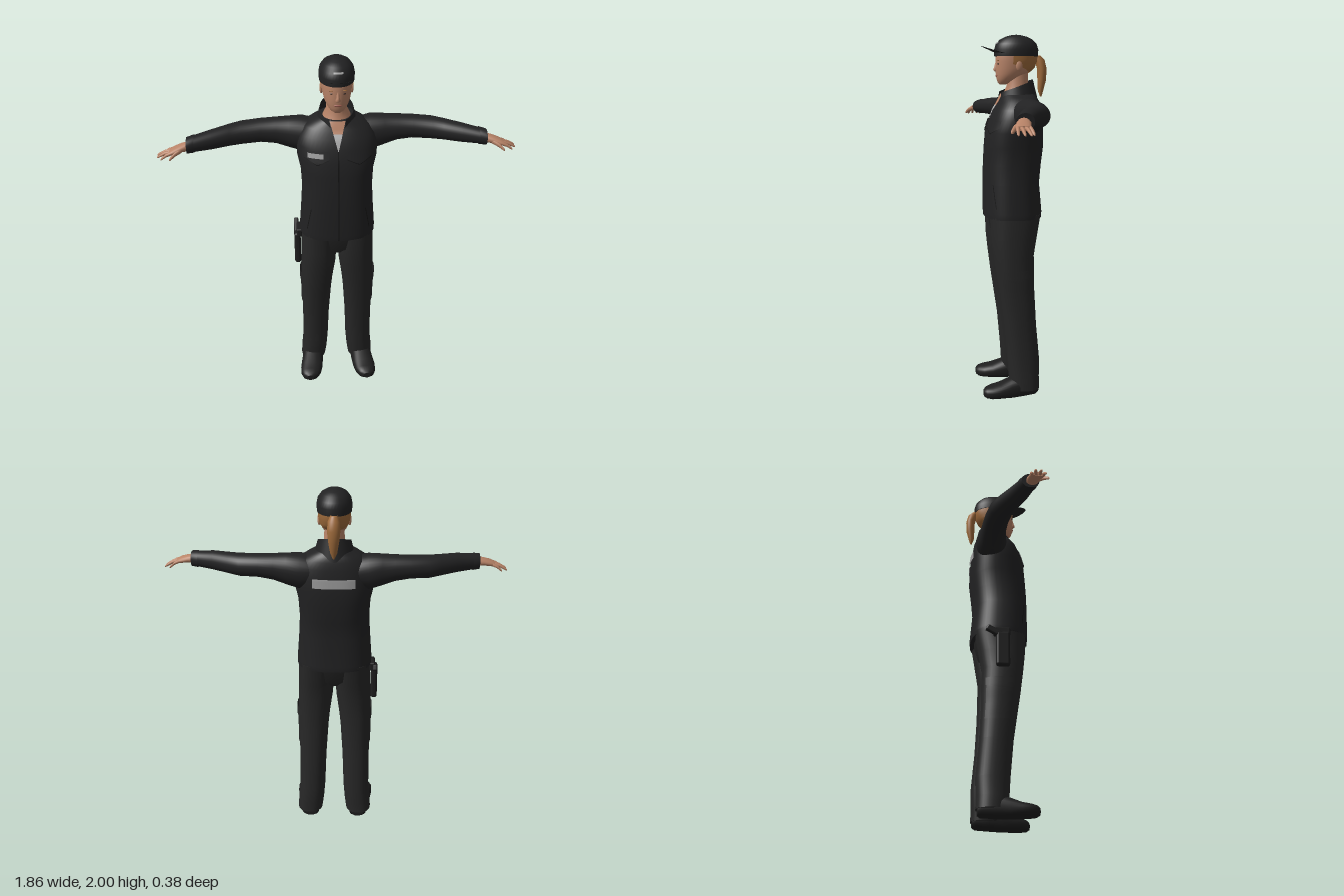
import * as THREE from 'three';
import { RoundedBoxGeometry } from 'three/addons/geometries/RoundedBoxGeometry.js';

const mat = (name, color, side = THREE.FrontSide) => {
  const m = new THREE.MeshStandardMaterial({ color, side });
  m.name = name;
  return m;
};

// Smooth surface from fn(u, v), optionally closed in u
function grid(nu, nv, fn, wrap = false) {
  const cols = wrap ? nu : nu + 1, pos = [], idx = [];
  for (let j = 0; j <= nv; j++)
    for (let i = 0; i < cols; i++) pos.push(...fn(i / nu, j / nv, j));
  for (let j = 0; j < nv; j++)
    for (let i = 0; i < nu; i++) {
      const k = (i + 1) % cols;
      const a = j * cols + i, b = j * cols + k, c = a + cols, d = b + cols;
      idx.push(a, b, d, a, d, c);
    }
  const g = new THREE.BufferGeometry();
  g.setAttribute('position', new THREE.Float32BufferAttribute(pos, 3));
  g.setIndex(idx);
  g.computeVertexNormals();
  return g;
}

const sp = (x, e) => Math.sign(x) * Math.abs(x) ** e;

// Closed loft; each section is [position, centreA, centreB, radiusA, radiusB].
// A and B mean x,z along 'y'; z,y along 'x'; y,x along 'z'.
function loft(axis, secs, p = 2, n = 32) {
  const first = secs[0], last = secs[secs.length - 1];
  const rows = [[...first.slice(0, 3), 0, 0], first, ...secs, last, [...last.slice(0, 3), 0, 0]];
  return grid(n, rows.length - 1, (u, v, j) => {
    const [s, ca, cb, ra, rb] = rows[j], t = u * Math.PI * 2;
    const a = ca + ra * sp(Math.sin(t), 2 / p), b = cb + rb * sp(Math.cos(t), 2 / p);
    return axis === 'y' ? [a, s, b] : axis === 'x' ? [s, b, a] : [b, a, s];
  }, true);
}

// Section of an upright loft at height y
function sectionAt(secs, y) {
  let i = 0;
  while (i < secs.length - 2 && y > secs[i + 1][0]) i++;
  const f = (y - secs[i][0]) / (secs[i + 1][0] - secs[i][0]);
  return secs[i].map((s, k) => s + (secs[i + 1][k] - s) * f);
}

// Thin plate following an upright loft; at(u, v) gives [angle, y]
const wrapPlate = (secs, p, off, at, nu = 12, nv = 8) => grid(nu, nv, (u, v) => {
  const [t, y] = at(u, v), [, cx, cz, rx, rz] = sectionAt(secs, y);
  return [cx + (rx + off) * sp(Math.sin(t), 2 / p), y, cz + (rz + off) * sp(Math.cos(t), 2 / p)];
});

// The same, placed by x on the front or back; at(u, v) gives [x, y]
const facePlate = (secs, p, off, at, back = false, nu = 12, nv = 8) => wrapPlate(secs, p, off, (u, v) => {
  const [x, y] = at(back ? 1 - u : u, v), s = sectionAt(secs, y);
  const t = Math.asin(sp((x - s[1]) / s[3], p / 2));
  return [back ? Math.PI - t : t, y];
}, nu, nv);

function mirror(g) {
  const m = g.clone().scale(-1, 1, 1), a = m.index.array;
  for (let i = 0; i < a.length; i += 3) [a[i], a[i + 1]] = [a[i + 1], a[i]];
  m.computeVertexNormals();
  return m;
}

const ball = (x, y, z, a, b, c) => new THREE.SphereGeometry(1, 16, 12).scale(a, b, c).translate(x, y, z);
const lerp = THREE.MathUtils.lerp;

const TORSO = [
  [1.01, 0, 0.005, 0.206, 0.158], [1.04, 0, 0.005, 0.207, 0.16], [1.2, 0, 0.012, 0.195, 0.153],
  [1.3, 0, 0.006, 0.19, 0.157], [1.4, 0, -0.003, 0.195, 0.16], [1.48, 0, -0.006, 0.212, 0.155],
  [1.55, 0, -0.015, 0.213, 0.142], [1.6, 0, -0.02, 0.2, 0.128], [1.64, 0, -0.03, 0.17, 0.112],
  [1.665, 0, -0.03, 0.13, 0.1], [1.685, 0, -0.03, 0.09, 0.09]];
const LEG = [
  [0.035, 0.145, -0.047, 0.073, 0.08], [0.1, 0.139, -0.04, 0.076, 0.085], [0.2, 0.13, -0.038, 0.075, 0.09],
  [0.4, 0.126, -0.02, 0.078, 0.09], [0.6, 0.12, 0, 0.085, 0.1], [0.68, 0.117, 0.006, 0.09, 0.106],
  [0.8, 0.108, 0.015, 0.098, 0.113], [0.9, 0.103, 0.012, 0.1, 0.127], [1.03, 0.1, 0.003, 0.1, 0.14]];
const HEAD = [
  [1.735, 0, 0.055, 0.02, 0.018], [1.745, 0, 0.045, 0.036, 0.037], [1.765, 0, 0.025, 0.053, 0.064],
  [1.79, 0, 0.008, 0.066, 0.084], [1.82, 0, -0.01, 0.074, 0.105], [1.86, 0, -0.018, 0.08, 0.112],
  [1.9, 0, -0.02, 0.082, 0.114], [1.94, 0, -0.02, 0.076, 0.1]];
const CAP = [
  [1.885, 0, -0.02, 0.09, 0.12], [1.92, 0, -0.02, 0.092, 0.121], [1.95, 0, -0.02, 0.086, 0.112],
  [1.975, 0, -0.02, 0.068, 0.089], [1.99, 0, -0.02, 0.044, 0.058], [1.998, 0, -0.02, 0.018, 0.024], [2, 0, -0.02, 0.004, 0.004]];
const ARM = [
  [0.1, -0.045, 1.565, 0.085, 0.08], [0.18, -0.055, 1.567, 0.088, 0.096], [0.25, -0.055, 1.577, 0.075, 0.084],
  [0.32, -0.055, 1.588, 0.068, 0.069], [0.4, -0.05, 1.593, 0.066, 0.061], [0.5, -0.035, 1.59, 0.066, 0.059],
  [0.56, -0.01, 1.59, 0.063, 0.055], [0.65, 0.033, 1.588, 0.055, 0.05], [0.735, 0.064, 1.583, 0.046, 0.042],
  [0.74, 0.066, 1.583, 0.049, 0.045], [0.775, 0.078, 1.58, 0.045, 0.041]];

export function createModel() {
  const root = new THREE.Group();
  const both = THREE.DoubleSide;
  const jacket = mat('jacket black', 0x222223, both), trousers = mat('trouser black', 0x272727, both);
  const leather = mat('shoe and holster black', 0x1e1e1e), seam = mat('seam black', 0x141414, both);
  const skin = mat('skin', 0xb98468, both), hair = mat('hair', 0xa06c3c, both);
  const grey = mat('reflective grey', 0x9c9c9c, both), shirt = mat('shirt grey', 0xb0b0b0, both);
  const lips = mat('lips', 0x9c5c4e), eye = mat('eye dark', 0x3a2a24);
  const add = (name, g, m) => {
    const o = new THREE.Mesh(g, m);
    o.name = name;
    root.add(o);
    return o;
  };
  const pair = (name, g, m) => { add('left' + name, g, m); add('right' + name, mirror(g), m); };

  // Jacket
  add('jacketBody', loft('y', TORSO, 2.5, 48), jacket);
  pair('Sleeve', loft('x', ARM, 2.1), jacket);
  add('collar', grid(36, 4, (u, v) => {
    const gap = lerp(0.3, 0.5, v), t = lerp(gap, Math.PI * 2 - gap, u);
    return [lerp(0.112, 0.088, v) * Math.sin(t), lerp(1.635, 1.725 - 0.035 * Math.cos(t), v),
      lerp(-0.03, -0.016, v) + lerp(0.113, 0.096, v) * Math.cos(t)];
  }), jacket);
  add('zip', facePlate(TORSO, 2.5, 0.003, (u, v) => [lerp(-0.003, 0.003, u), lerp(1.012, 1.55, v)], false, 2, 20), seam);
  pair('ChestFlap', facePlate(TORSO, 2.5, 0.005, (u, v) =>
    [lerp(0.045, 0.17, u), lerp(1.505 - 0.03 * (1 - Math.abs(2 * u - 1)), 1.545, v)]), jacket);
  pair('ChestFlapEdge', facePlate(TORSO, 2.5, 0.006, (u, v) =>
    [lerp(0.045, 0.17, u), 1.501 - 0.03 * (1 - Math.abs(2 * u - 1)) + 0.004 * v], false, 12, 1), seam);
  pair('SidePocketSeam', facePlate(TORSO, 2.5, 0.003, (u, v) =>
    [lerp(0.165, 0.142, v) + 0.004 * u, lerp(1.07, 1.2, v)], false, 1, 8), seam);
  add('chestPatch', facePlate(TORSO, 2.5, 0.007, (u, v) => [lerp(-0.155, -0.075, u), lerp(1.508, 1.533, v)]), grey);
  add('backPatch', facePlate(TORSO, 2.5, 0.006, (u, v) => [lerp(-0.11, 0.11, u), lerp(1.505, 1.555, v)], true), grey);

  // Open neckline with shirt
  const vee = (y0, y1) => facePlate(TORSO, 2.5, 0.005, (u, v) => {
    const y = lerp(y0, y1, v);
    return [(2 * u - 1) * 0.038 * (y - 1.54) / 0.14, y];
  });
  add('shirt', vee(1.545, 1.625), shirt);
  add('chestSkin', vee(1.625, 1.684), skin);

  // Neck and head
  add('neck', loft('y', [[1.64, 0, -0.02, 0.085, 0.08], [1.69, 0, -0.022, 0.072, 0.072],
    [1.725, 0, -0.025, 0.054, 0.058], [1.81, 0, -0.025, 0.052, 0.062]]), skin);
  add('head', loft('y', HEAD, 2.1, 40), skin);
  add('nose', loft('y', [[1.805, 0, 0.092, 0.011, 0.008], [1.812, 0, 0.094, 0.014, 0.014],
    [1.825, 0, 0.093, 0.009, 0.01], [1.856, 0, 0.088, 0.006, 0.006]], 2, 16), skin);
  add('lips', ball(0, 1.782, 0.089, 0.021, 0.006, 0.006), lips);
  pair('Eye', ball(0.03, 1.845, 0.084, 0.011, 0.004, 0.005), eye);
  pair('Eyebrow', ball(0.03, 1.862, 0.085, 0.016, 0.003, 0.005), hair);
  pair('Ear', ball(0.079, 1.835, -0.022, 0.009, 0.03, 0.018), skin);

  // Hair
  add('hairBack', wrapPlate(HEAD, 2.1, 0.005, (u, v) => {
    const t = lerp(1.35, Math.PI * 2 - 1.35, u);
    return [t, lerp(1.835 + 0.04 * Math.cos(t), 1.92, v)];
  }, 28, 8), hair);
  add('ponytail', loft('y', [[1.668, 0, -0.158, 0.004, 0.004], [1.7, 0, -0.157, 0.018, 0.015],
    [1.76, 0, -0.163, 0.028, 0.024], [1.82, 0, -0.163, 0.034, 0.026], [1.865, 0, -0.15, 0.03, 0.028],
    [1.89, 0, -0.135, 0.018, 0.02]]), hair);

  // Cap
  add('capCrown', loft('y', CAP, 2.1, 40), jacket);
  add('capBrim', grid(24, 8, (u, v) => {
    const t = lerp(-1.3, 1.3, u), c = Math.cos(t);
    return [lerp(0.088, 0.083, v) * Math.sin(t), 1.888 + 0.016 * c + 0.036 * v * c * c,
      -0.02 + (0.116 + 0.08 * v * Math.sqrt(c)) * c];
  }), jacket);
  add('capPlate', facePlate(CAP, 2.1, 0.004, (u, v) => [lerp(-0.022, 0.026, u), lerp(1.951, 1.959, v)]), grey);

  // Hands
  pair('Palm', loft('x', [[0.765, 0.083, 1.578, 0.027, 0.025], [0.8, 0.09, 1.575, 0.035, 0.02],
    [0.84, 0.1, 1.565, 0.038, 0.016], [0.862, 0.103, 1.558, 0.034, 0.011]], 2.2, 20), skin);
  const digit = (a, b, r) => loft('x', [0, 0.5, 0.9, 1].map((f, i) =>
    [lerp(a[0], b[0], f), lerp(a[2], b[2], f), lerp(a[1], b[1], f) + 0.006 * Math.sin(f * Math.PI),
      r * [1, 0.95, 0.7, 0.3][i], r * [1, 0.95, 0.7, 0.3][i]]), 2, 10);
  [[0.075, 0.9, 0.06], [0.094, 0.929, 0.078], [0.112, 0.929, 0.107], [0.128, 0.908, 0.134]].forEach(([z, x, tz], i) =>
    pair('Finger' + (i + 1), digit([0.845, 1.563, z], [x, 1.53, tz], 0.0095), skin));
  pair('Thumb', digit([0.8, 1.57, 0.113], [0.862, 1.537, 0.156], 0.013), skin);

  // Trousers
  add('hips', loft('y', [[0.875, 0, 0.01, 0.06, 0.07], [0.92, 0, 0.008, 0.15, 0.115], [1.04, 0, 0.003, 0.198, 0.142]], 2.3), trousers);
  pair('Leg', loft('y', LEG, 2.3), trousers);
  pair('ThighPocket', wrapPlate(LEG, 2.3, 0.006, (u, v) => [lerp(0.8, 2.4, u), lerp(0.5, 0.7, v)]), trousers);
  pair('ThighPocketFlap', wrapPlate(LEG, 2.3, 0.009, (u, v) =>
    [lerp(0.75, 2.45, u), lerp(0.69 - 0.03 * (1 - Math.abs(2 * u - 1)), 0.73, v)]), trousers);

  // Shoes, flattened on the ground
  const shoe = loft('z', [[-0.118, 0.035, 0.142, 0.03, 0.035], [-0.1, 0.045, 0.143, 0.055, 0.052],
    [-0.03, 0.045, 0.147, 0.07, 0.062], [0.04, 0.035, 0.154, 0.062, 0.064], [0.1, 0.03, 0.162, 0.043, 0.066],
    [0.15, 0.028, 0.168, 0.036, 0.06], [0.18, 0.027, 0.171, 0.029, 0.044], [0.194, 0.026, 0.173, 0.018, 0.02]], 2.4);
  const sp3 = shoe.attributes.position;
  for (let i = 0; i < sp3.count; i++) sp3.setY(i, Math.max(0, sp3.getY(i)));
  shoe.computeVertexNormals();
  pair('Shoe', shoe, leather);

  // Holster with sidearm on the right hip
  add('holster', new RoundedBoxGeometry(0.036, 0.2, 0.075, 3, 0.014).translate(-0.224, 0.885, 0.005), leather);
  add('holsterStrap', new RoundedBoxGeometry(0.03, 0.05, 0.09, 2, 0.008).translate(-0.212, 0.99, 0.0), leather);
  const grip = add('sidearmGrip', new RoundedBoxGeometry(0.026, 0.036, 0.1, 2, 0.009), leather);
  grip.position.set(-0.228, 0.985, -0.04);
  grip.rotation.x = 0.5;
  return root;
}
